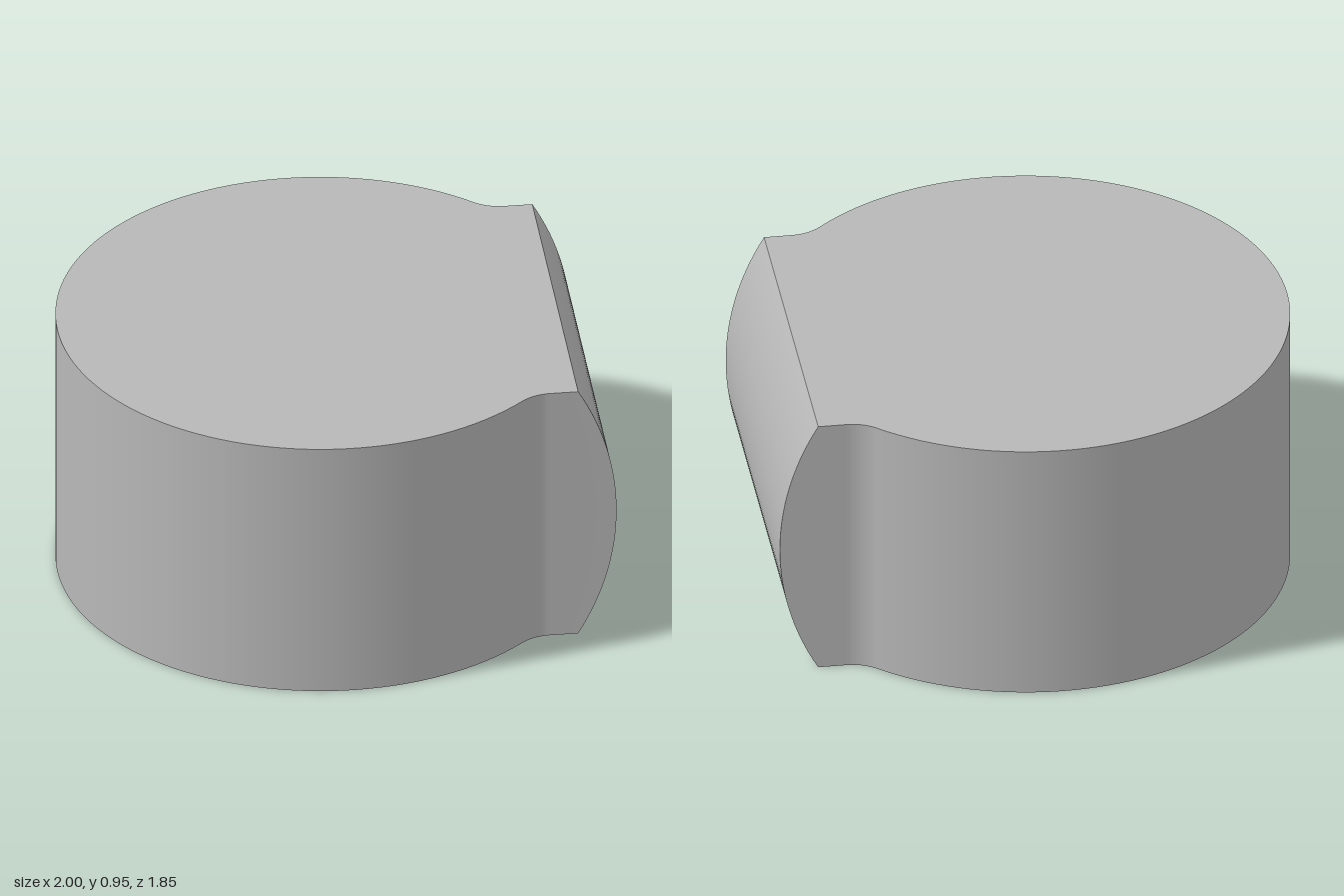
import * as THREE from 'three';
import { toCreasedNormals } from 'three/addons/utils/BufferGeometryUtils.js';

const HEIGHT = 0.95;
const RADIUS = 0.8925;      // round body
const FACE_RADIUS = 0.929;  // bulged face, a horizontal cylinder through the body's centre
const HALF_WIDTH = 0.619;   // half the width of the bulged face
const FILLET = 0.15;        // concave blend between body and face block
const FACE_ANGLE = 0.449;   // direction of the face, from +x towards +z

const bulge = (y) => Math.sqrt(FACE_RADIUS ** 2 - (y - HEIGHT / 2) ** 2);

// Outline seen from above, with the face towards +x
function outline() {
  const front = bulge(0);
  const cy = HALF_WIDTH + FILLET;
  const cx = Math.sqrt((RADIUS + FILLET) ** 2 - cy ** 2);
  const a = Math.atan2(cy, cx);
  const s = new THREE.Shape();
  s.moveTo(front, -HALF_WIDTH);
  s.lineTo(front, HALF_WIDTH);
  s.lineTo(cx, HALF_WIDTH);
  s.absarc(cx, cy, FILLET, -Math.PI / 2, a - Math.PI, true);
  s.absarc(0, 0, RADIUS, a, 2 * Math.PI - a, false);
  s.absarc(cx, -cy, FILLET, Math.PI - a, Math.PI / 2, true);
  s.closePath();
  return s;
}

export function createModel() {
  const grey = new THREE.MeshStandardMaterial({ color: 0xb8b8b8 });
  grey.name = 'grey';

  const geometry = new THREE.ExtrudeGeometry(outline(), {
    depth: HEIGHT, steps: 32, curveSegments: 48, bevelEnabled: false,
  });
  geometry.rotateX(-Math.PI / 2);

  // Bulge the front face along its height
  const p = geometry.attributes.position;
  for (let i = 0; i < p.count; i++) {
    if (p.getX(i) > bulge(0) - 0.001) p.setX(i, bulge(p.getY(i)));
  }

  const body = new THREE.Mesh(toCreasedNormals(geometry, 0.6), grey);
  body.name = 'roundBodyWithBulgedFace';
  body.rotation.y = -FACE_ANGLE;
  body.position.set(-0.107, 0, -0.037);

  const model = new THREE.Group();
  model.name = 'roundBlock';
  model.add(body);
  return model;
}
